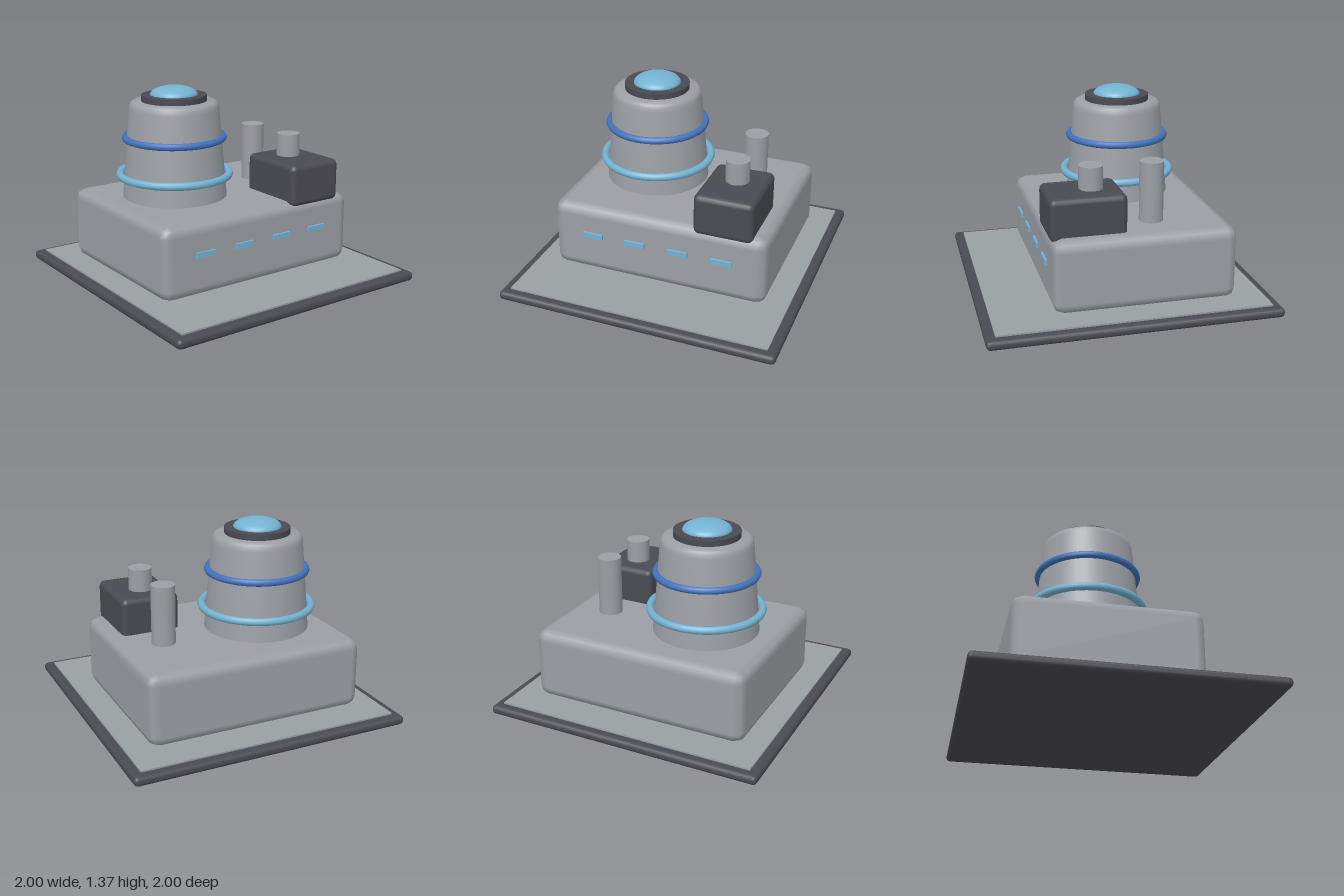
import * as THREE from 'three';
import { RoundedBoxGeometry } from 'three/addons/geometries/RoundedBoxGeometry.js';
import { toCreasedNormals } from 'three/addons/utils/BufferGeometryUtils.js';

function material(name, color) {
  const m = new THREE.MeshStandardMaterial({ color });
  m.name = name;
  return m;
}

export function createModel() {
  const group = new THREE.Group();
  const grey = material('wall grey', 0x9b9fa4);
  const paving = material('paving grey', 0x9a9fa1);
  const dark = material('dark grey', 0x4a4b52);
  const lightBlue = material('light blue', 0x74b2d2);
  const blue = material('blue', 0x4273bd);

  function add(name, geometry, mat, x, y, z) {
    const mesh = new THREE.Mesh(geometry, mat);
    mesh.name = name;
    mesh.position.set(x, y, z);
    group.add(mesh);
    return mesh;
  }

  // Ground slab with a thin inset paving sheet
  add('baseSlab', new RoundedBoxGeometry(2, 0.065, 2, 2, 0.028), dark, 0, 0.0325, 0);
  add('paving', new THREE.BoxGeometry(1.87, 0.015, 1.87), paving, 0, 0.0685, 0);

  // Main building
  add('building', new RoundedBoxGeometry(1.575, 0.51, 1.265, 1, 0.075), grey, -0.003, 0.33, -0.105);

  // Row of windows on the front wall
  for (let i = 0; i < 4; i++) {
    add('window', new THREE.BoxGeometry(0.147, 0.038, 0.018), lightBlue, -0.479 + i * 0.3175, 0.373, 0.534);
  }

  // Tapered tower with a rounded shoulder
  const tx = -0.265, tz = -0.16;
  const profile = [
    [0, 0.55], [0.374, 0.55], [0.318, 1.21], [0.313, 1.235], [0.304, 1.253], [0.285, 1.265], [0, 1.265],
  ].map(([r, y]) => new THREE.Vector2(r, y));
  add('tower', toCreasedNormals(new THREE.LatheGeometry(profile, 48), 0.75), grey, tx, 0, tz);

  // Tower rings
  for (const [name, y, radius, tube, mat] of [
    ['lowerRing', 0.742, 0.389, 0.028, lightBlue],
    ['upperRing', 1.005, 0.346, 0.025, blue],
  ]) {
    const ring = new THREE.TorusGeometry(radius, tube, 8, 64);
    ring.rotateX(Math.PI / 2);
    add(name, ring, mat, tx, y, tz);
  }

  // Cap and skylight dome
  add('towerCap', new THREE.CylinderGeometry(0.23, 0.23, 0.045, 48), dark, tx, 1.2845, tz);
  const dome = new THREE.SphereGeometry(0.168, 40, 12, 0, Math.PI * 2, 0, Math.PI / 2);
  dome.scale(1, 0.39, 1);
  add('dome', dome, lightBlue, tx, 1.305, tz);

  // Roof unit and two vent pipes
  add('roofUnit', new RoundedBoxGeometry(0.42, 0.298, 0.52, 2, 0.04), dark, 0.471, 0.695, 0.265);
  add('frontPipe', new THREE.CylinderGeometry(0.083, 0.083, 0.2, 32), grey, 0.471, 0.903, 0.21);
  add('rearPipe', new THREE.CylinderGeometry(0.083, 0.083, 0.45, 32), grey, 0.471, 0.778, -0.21);

  return group;
}
